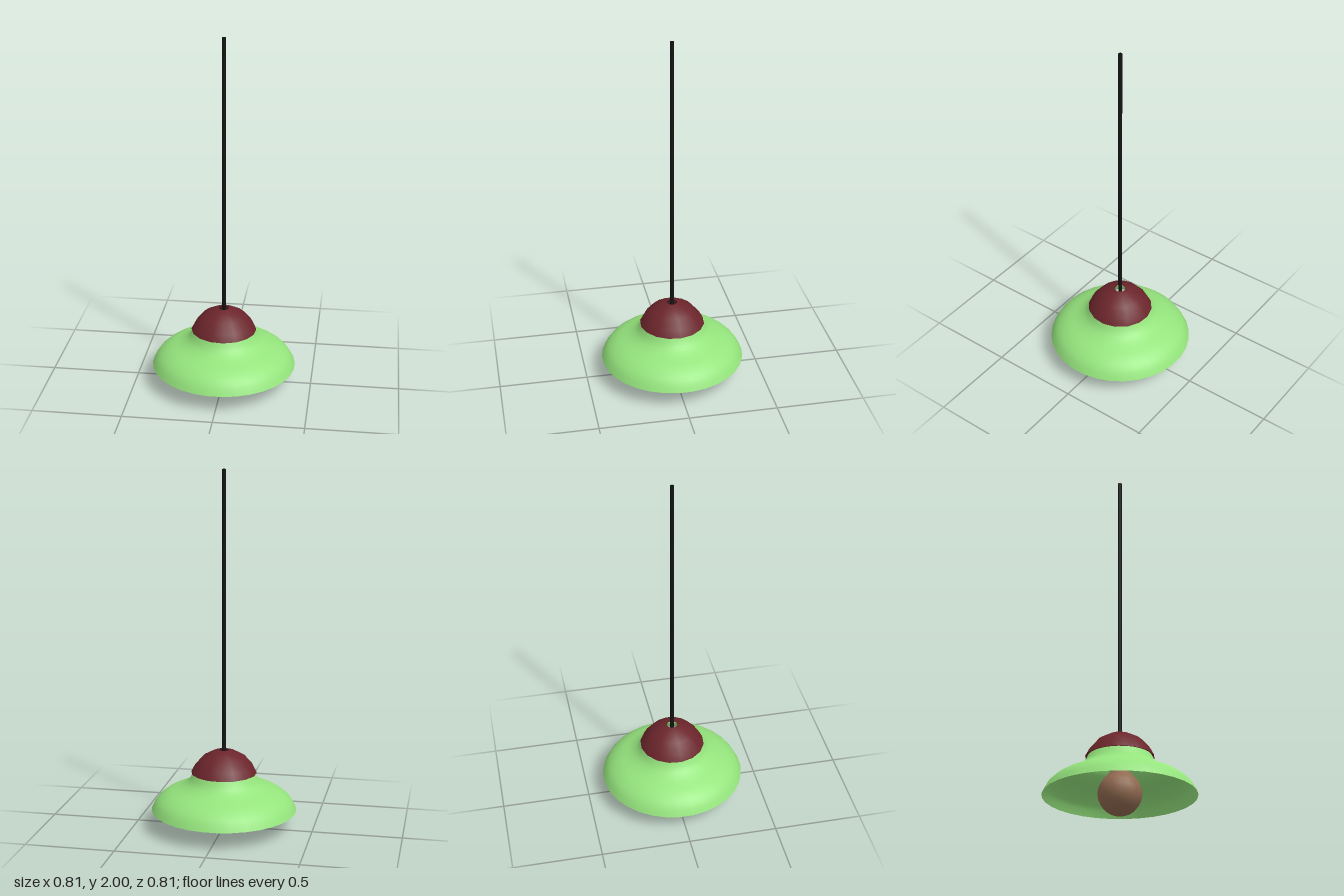
import * as THREE from 'three';

// Surface of revolution through [radius, y] points, listed bottom to top
function turned(name, points, segments, color, phiStart = 0) {
  const profile = points.map(([r, y]) => new THREE.Vector2(r, y));
  const mesh = new THREE.Mesh(
    new THREE.LatheGeometry(profile, segments, phiStart),
    new THREE.MeshStandardMaterial({ color, side: THREE.DoubleSide })
  );
  mesh.name = name;
  return mesh;
}

export function createModel() {
  const lamp = new THREE.Group();
  lamp.name = 'pendantLamp';

  // Bell-shaped shade, open at both ends
  const bell = new THREE.SplineCurve([
    [0.407, 0.105], [0.376, 0.16], [0.32, 0.204], [0.245, 0.237],
    [0.197, 0.272], [0.17, 0.32],
  ].map(([r, y]) => new THREE.Vector2(r, y)));
  const bellPoints = bell.getPoints(15).map(p => [p.x, p.y]);
  lamp.add(turned('shade', bellPoints, 32, 0x95e47d, Math.PI / 32));

  // Domed cap with a hole for the cord
  lamp.add(turned('cap', [
    [0.184, 0.317], [0.163, 0.357], [0.12, 0.407], [0.064, 0.438], [0.029, 0.448],
  ], 16, 0x6b252b, 0.096));

  // Round bulb tapering to a neck inside the socket
  const bulb = [];
  for (let i = 0; i <= 9; i++) {
    const a = (i / 9) * 2.3;
    bulb.push([0.117 * Math.sin(a), 0.117 - 0.117 * Math.cos(a)]);
  }
  bulb.push([0.058, 0.225], [0.043, 0.255], [0.04, 0.28], [0, 0.285]);
  lamp.add(turned('bulb', bulb, 16, 0x916a50));

  // Socket sleeve
  lamp.add(turned('socket', [[0.047, 0.245], [0.047, 0.36]], 16, 0x55595d));

  // Hanging cord
  lamp.add(turned('cord', [[0.011, 0.4], [0.011, 2]], 8, 0x141416));

  return lamp;
}
